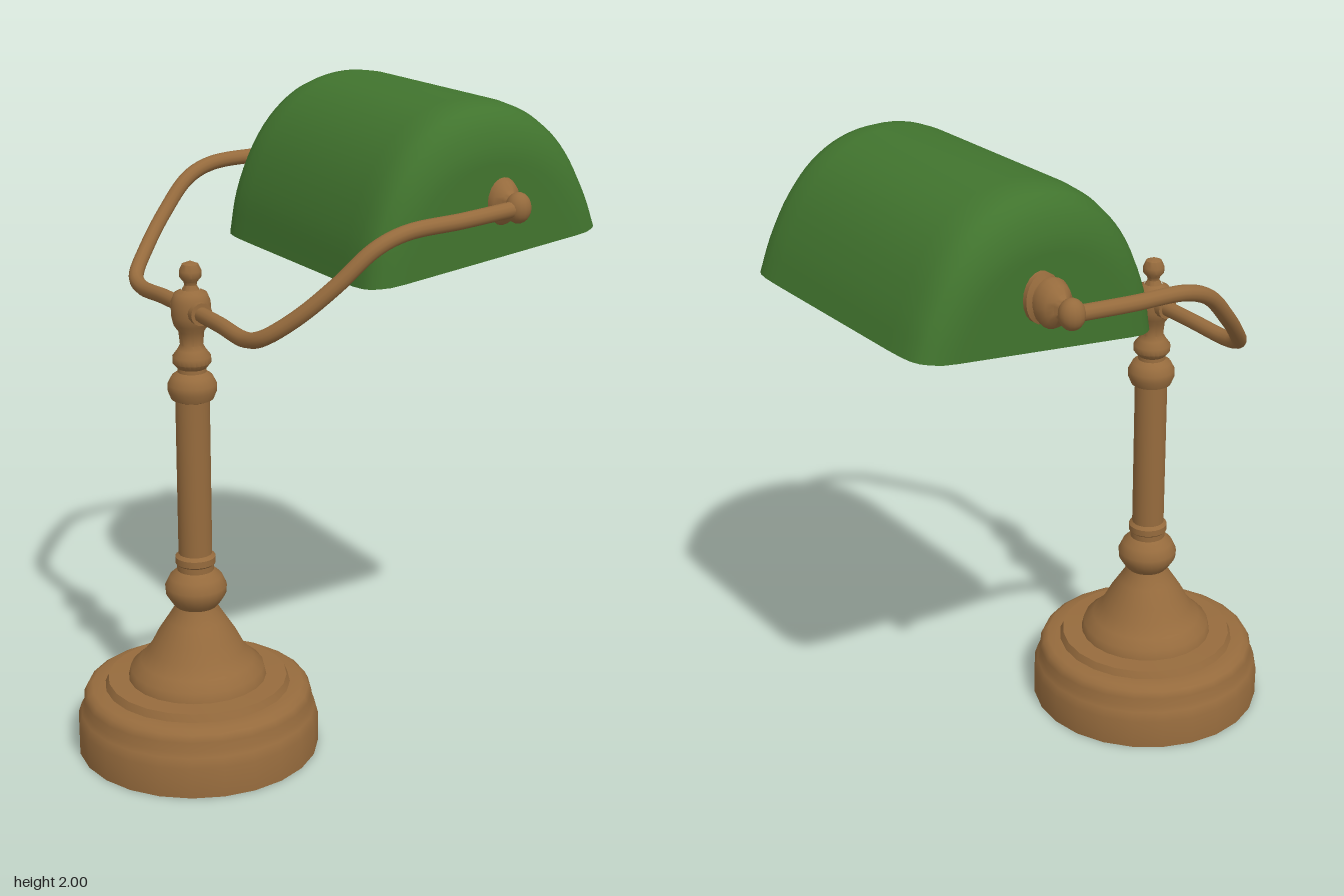
import * as THREE from 'three';
import { toCreasedNormals } from 'three/addons/utils/BufferGeometryUtils.js';

const mat = (name, color) => {
  const m = new THREE.MeshStandardMaterial({ color });
  m.name = name;
  return m;
};
const part = (name, geometry, material) => {
  const mesh = new THREE.Mesh(geometry, material);
  mesh.name = name;
  return mesh;
};
const lathe = (points, segments) => toCreasedNormals(
  new THREE.LatheGeometry(points.map(([r, y]) => new THREE.Vector2(r, y)), segments), 0.75);

// Arch of the shade seen from the front, from the low rim to the high rim
const ARCH = [[-0.065, 1.51], [-0.04, 1.65], [0.02, 1.8], [0.1, 1.905], [0.2, 1.973], [0.33, 2],
  [0.45, 1.983], [0.55, 1.93], [0.63, 1.845], [0.7, 1.72], [0.742, 1.61]];
// Rounded end of the shade: distance from the end, width scale, height scale
const END = [[0, 0, 0], [0, 0.58, 0.62], [0, 0.72, 0.66], [0.004, 0.83, 0.74], [0.018, 0.9, 0.83],
  [0.035, 0.95, 0.9], [0.06, 0.98, 0.955], [0.1, 0.995, 0.988], [0.16, 1, 1]];
const Z_BACK = -0.415, Z_FRONT = 0.49;

// Shell of arches swept along z; the inside version is slightly smaller and faces inward
function shadeShell(inside) {
  const cols = 40, inset = inside ? 0.006 : 0, shrink = inside ? 0.988 : 1;
  const cx = 0.3385, cy = 1.56, slope = 0.124;
  const arch = new THREE.CatmullRomCurve3(ARCH.map(([x, y]) => new THREE.Vector3(x, y, 0))).getPoints(cols);
  const rows = [
    ...END.map(([d, sx, sy]) => [Z_BACK + d + inset, sx, sy]),
    ...[...END].reverse().map(([d, sx, sy]) => [Z_FRONT - d - inset, sx, sy]),
  ];
  const positions = [];
  for (const [z, sx, sy] of rows) {
    for (const p of arch) {
      const dx = (p.x - cx) * sx * shrink;
      const rise = p.y - cy - slope * (p.x - cx);
      positions.push(cx + dx, cy + slope * dx + rise * sy * shrink, z);
    }
  }
  const index = [], n = cols + 1;
  for (let i = 0; i < rows.length - 1; i++) {
    for (let j = 0; j < cols; j++) {
      const a = i * n + j, b = a + n, c = a + 1, d = b + 1;
      if (inside) index.push(a, c, b, b, c, d);
      else index.push(a, b, c, b, d, c);
    }
  }
  const g = new THREE.BufferGeometry();
  g.setAttribute('position', new THREE.Float32BufferAttribute(positions, 3));
  g.setIndex(index);
  g.computeVertexNormals();
  if (inside) {
    // The middle of the front end is green on the inside too
    const patch = cols * 6;
    g.addGroup(0, index.length - patch, 0);
    g.addGroup(index.length - patch, patch, 1);
  }
  return g;
}

export function createModel() {
  const model = new THREE.Group();
  model.name = 'deskLamp';
  const brass = mat('brass', 0x966b3d);
  const green = mat('greenGlass', 0x41742e);
  const olive = mat('oliveLining', 0x7a7042);
  const axisX = -0.375;

  // Stepped foot
  const foot = part('foot', lathe([[0, 0.005], [0.372, 0.005], [0.372, 0.1], [0.362, 0.13], [0.352, 0.145],
    [0.352, 0.175], [0.342, 0.195], [0.325, 0.205], [0.285, 0.207], [0.275, 0.23], [0.212, 0.232],
    [0.205, 0.262], [0.175, 0.288], [0.145, 0.325], [0.122, 0.37], [0.09, 0.42], [0.068, 0.455],
    [0.06, 0.48]], 24), brass);

  // Turned column
  const column = part('column', lathe([[0.06, 0.46], [0.075, 0.478], [0.092, 0.505], [0.094, 0.53],
    [0.08, 0.56], [0.056, 0.582], [0.056, 0.6], [0.061, 0.605], [0.061, 0.625], [0.051, 0.635],
    [0.051, 1.12], [0.063, 1.125], [0.073, 1.15], [0.073, 1.17], [0.06, 1.195], [0.043, 1.207],
    [0.042, 1.218], [0.057, 1.235], [0.057, 1.255], [0.042, 1.275], [0.034, 1.29], [0.038, 1.33],
    [0.052, 1.35], [0.058, 1.375], [0.058, 1.42], [0.048, 1.445], [0.028, 1.455]], 24), brass);

  // Finial on top
  const finial = part('finial', lathe([[0.028, 1.45], [0.018, 1.468], [0.02, 1.478], [0.032, 1.492],
    [0.033, 1.51], [0.024, 1.53], [0, 1.54]], 20), brass);
  for (const p of [foot, column, finial]) {
    p.position.x = axisX;
    model.add(p);
  }

  // Two mirrored arms with a knob at each end
  const armPoints = [[-0.375, 1.395, 0], [-0.375, 1.392, 0.18], [-0.375, 1.387, 0.34], [-0.36, 1.405, 0.405],
    [-0.29, 1.47, 0.475], [-0.2, 1.56, 0.53], [-0.1, 1.655, 0.563], [-0.01, 1.692, 0.573],
    [0.18, 1.705, 0.57], [0.37, 1.72, 0.565]];
  const knobGeometry = lathe([[0, 0.425], [0.056, 0.425], [0.056, 0.44], [0.042, 0.447], [0.042, 0.455],
    [0.052, 0.463], [0.055, 0.485], [0.045, 0.508], [0.028, 0.522], [0.022, 0.53], [0.022, 0.56]], 20);
  knobGeometry.rotateX(Math.PI / 2);
  for (const [side, s] of [['front', 1], ['back', -1]]) {
    const curve = new THREE.CatmullRomCurve3(armPoints.map(([x, y, z]) => new THREE.Vector3(x, y, z * s)));
    model.add(part(side + 'Arm', new THREE.TubeGeometry(curve, 64, 0.023, 12), brass));

    const collar = part(side + 'Collar', new THREE.CylinderGeometry(0.034, 0.034, 0.03, 16), brass);
    collar.rotation.x = Math.PI / 2;
    collar.position.set(axisX, 1.395, s * 0.055);
    model.add(collar);

    const knob = part(side + 'Knob', knobGeometry, brass);
    knob.position.set(0.37, 1.725, 0);
    knob.scale.y = 1.3;
    if (s < 0) knob.rotation.y = Math.PI;
    model.add(knob);

    const ball = part(side + 'ArmBall', new THREE.SphereGeometry(0.037, 16, 12), brass);
    ball.position.set(0.37, 1.72, s * 0.563);
    ball.scale.y = 1.2;
    model.add(ball);
  }

  // Shade and its lining
  model.add(part('shade', shadeShell(false), green));
  model.add(part('shadeLining', shadeShell(true), [olive, green]));
  return model;
}
